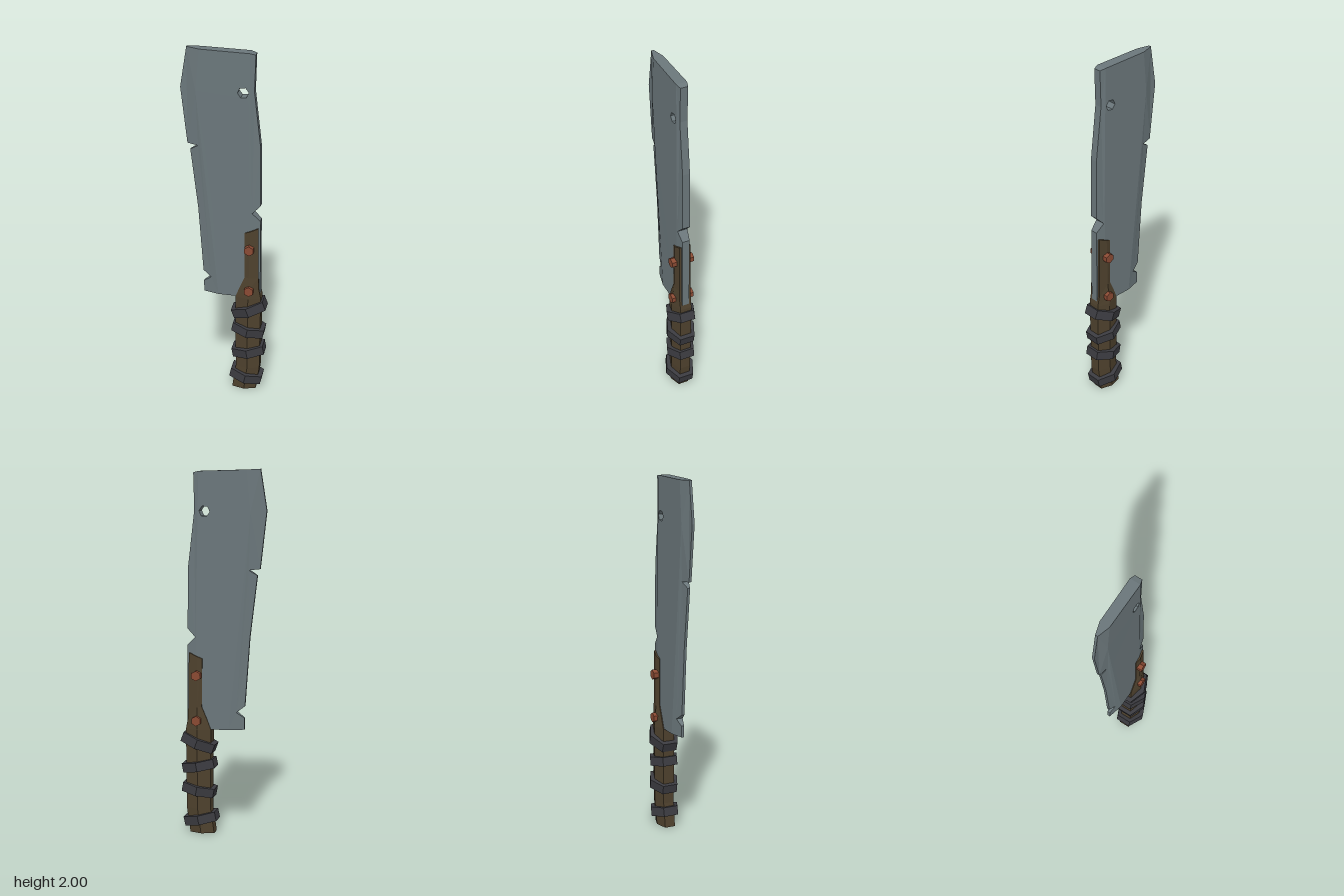
import * as THREE from 'three';

const material = (name, color) => {
  const m = new THREE.MeshStandardMaterial({ color, flatShading: true });
  m.name = name;
  return m;
};

// Piecewise-linear lookup, clamped at both ends; keys ascend.
function lookup(keys, values, t) {
  if (t <= keys[0]) return values[0];
  for (let i = 1; i < keys.length; i++) {
    if (t <= keys[i]) {
      const f = (t - keys[i - 1]) / (keys[i] - keys[i - 1]);
      return values[i - 1] + f * (values[i] - values[i - 1]);
    }
  }
  return values[values.length - 1];
}
const xOnLine = (line, y) => lookup(line.map(p => p[1]), line.map(p => p[0]), y);

// Blade guide lines, listed from bottom to top.
const edge = [[-0.115, 0.59], [-0.12, 0.72], [-0.145, 1.1], [-0.185, 1.435], [-0.2, 1.47], [-0.235, 1.78], [-0.2, 2]];
const bevel = [[-0.03, 0.588], [-0.06, 1.1], [-0.1, 1.45], [-0.15, 1.77], [-0.13, 1.996]];
const shoulder = [[0.15, 0.585], [0.148, 1.095], [0.145, 1.45], [0.135, 1.7], [0.135, 1.988]];
const spine = [[0.203, 0.6], [0.2, 1.05], [0.2, 1.14], [0.195, 1.48], [0.16, 1.78], [0.165, 1.98]];

// The same edge and spine with their chipped notches.
const chippedEdge = [[-0.115, 0.59], [-0.115, 0.655], [-0.072, 0.685], [-0.118, 0.72], [-0.145, 1.1],
  [-0.185, 1.435], [-0.14, 1.463], [-0.2, 1.47], [-0.235, 1.78], [-0.2, 2]];
const chippedSpine = [[0.203, 0.6], [0.2, 1.05], [0.155, 1.095], [0.2, 1.14], [0.195, 1.48], [0.16, 1.78], [0.165, 1.98]];

const halfThickness = (x, y) => lookup(
  [edge, bevel, shoulder, spine].map(line => xOnLine(line, y)), [0.007, 0.028, 0.03, 0.021], x);

// One lengthwise strip of the blade between two lines.
function bladeStrip(left, right, hole) {
  const outline = [...left, ...[...right].reverse()].map(p => new THREE.Vector2(...p));
  const shape = new THREE.Shape(outline);
  if (hole) shape.holes.push(hole);
  const geometry = new THREE.ExtrudeGeometry(shape, { depth: 1, bevelEnabled: false });
  const pos = geometry.attributes.position;
  for (let i = 0; i < pos.count; i++) {
    const half = halfThickness(pos.getX(i), pos.getY(i));
    pos.setZ(i, pos.getZ(i) > 0.5 ? half : -half);
  }
  geometry.computeVertexNormals();
  return geometry;
}

// Closed loft through six-sided sections [y, left, middle, right, ridge depth, side depth, slant].
function hexLoft(sections) {
  const points = [];
  for (const [y, x0, xm, x1, zr, zs, slant = 0] of sections) {
    for (const [x, z] of [[x0, zs], [xm, zr], [x1, zs], [x1, -zs], [xm, -zr], [x0, -zs]]) {
      points.push(x, y + slant * (x - xm), z);
    }
  }
  const index = [];
  for (let r = 0; r < sections.length - 1; r++) {
    for (let i = 0; i < 6; i++) {
      const a = r * 6 + i, b = r * 6 + (i + 1) % 6;
      index.push(a, b, b + 6, a, b + 6, a + 6);
    }
  }
  const top = (sections.length - 1) * 6;
  for (let i = 1; i < 5; i++) {
    index.push(0, i + 1, i, top, top + i, top + i + 1);
  }
  const geometry = new THREE.BufferGeometry();
  geometry.setAttribute('position', new THREE.Float32BufferAttribute(points, 3));
  geometry.setIndex(index);
  const flat = geometry.toNonIndexed();
  flat.computeVertexNormals();
  return flat;
}

export function createModel() {
  const steel = material('steel', 0x6b777b);
  const wood = material('wood', 0x4e412d);
  const leather = material('dark wrap', 0x3b3b40);
  const copper = material('copper', 0x8a4a33);

  const model = new THREE.Group();
  model.name = 'machete';
  const add = (name, geometry, mat, parent = model) => {
    const mesh = new THREE.Mesh(geometry, mat);
    mesh.name = name;
    parent.add(mesh);
    return mesh;
  };

  // Blade: sharpened edge, flat body with a hanging hole, and thinned spine
  const blade = new THREE.Group();
  blade.name = 'blade';
  model.add(blade);
  const hole = new THREE.Path();
  hole.setFromPoints(Array.from({ length: 6 }, (_, i) => {
    const a = i * Math.PI / 3 + 0.1;
    return new THREE.Vector2(0.102 + 0.03 * Math.cos(a), 1.775 + 0.03 * Math.sin(a));
  }));
  add('cuttingEdge', bladeStrip(chippedEdge, bevel), steel, blade);
  add('bladeBody', bladeStrip(bevel, shoulder, hole), steel, blade);
  add('bladeSpine', bladeStrip(shoulder, chippedSpine), steel, blade);

  // Handle: bent grip narrowing into scales beside the blade
  add('handle', hexLoft([
    [0, 0.05, 0.12, 0.185, 0.05, 0.03],
    [0.14, 0.07, 0.138, 0.205, 0.055, 0.031],
    [0.585, 0.067, 0.14, 0.208, 0.055, 0.033],
    [0.64, 0.088, 0.14, 0.197, 0.05, 0.034],
    [0.71, 0.118, 0.142, 0.194, 0.043, 0.034],
    [0.99, 0.115, 0.145, 0.19, 0.04, 0.033, 0.42],
  ]), wood);

  // Wraps: tilted bands around the grip, [centre x, centre y, slant]
  const wraps = [[0.128, 0.08, -0.22], [0.139, 0.244, 0.18], [0.138, 0.38, -0.2], [0.14, 0.51, 0.37]];
  for (const [x, y, slant] of wraps) {
    const band = h => [y + h, x - 0.088 + h * -slant, x - h * slant, x + 0.088 - h * slant, 0.082, 0.043, slant];
    add('gripWrap', hexLoft([band(-0.025), band(0.025)]), leather);
  }

  // Rivets through both scales
  for (const y of [0.635, 0.885]) {
    const rivet = add('rivet', new THREE.CylinderGeometry(0.028, 0.028, 0.13, 6), copper);
    rivet.rotation.x = Math.PI / 2;
    rivet.position.set(0.144, y, 0);
  }
  return model;
}
